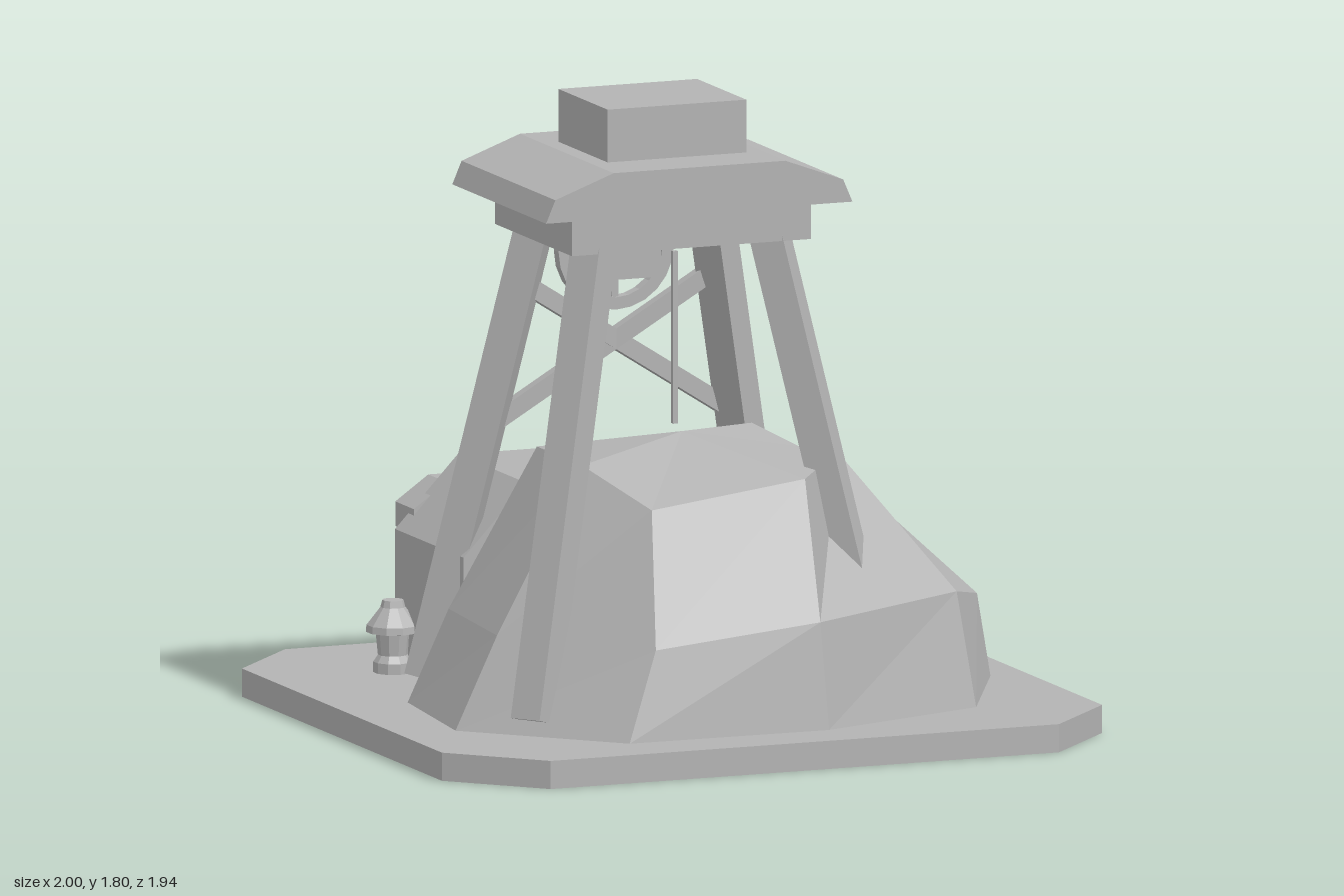
import * as THREE from 'three';

const gray = new THREE.MeshStandardMaterial({ color: 0xb3b3b3, flatShading: true, side: THREE.DoubleSide });
gray.name = 'stone gray';

export function createModel() {
  const model = new THREE.Group();
  model.name = 'mineTower';

  function add(name, geometry, x = 0, y = 0, z = 0, parent = model) {
    const mesh = new THREE.Mesh(geometry, gray);
    mesh.name = name;
    mesh.position.set(x, y, z);
    parent.add(mesh);
    return mesh;
  }
  // Box given by its lowest and highest corner
  function box(name, [x0, y0, z0], [x1, y1, z1], parent = model) {
    return add(name, new THREE.BoxGeometry(x1 - x0, y1 - y0, z1 - z0),
      (x0 + x1) / 2, (y0 + y1) / 2, (z0 + z1) / 2, parent);
  }
  // Square timber running from a to b
  function beam(name, a, b, w, h, parent = model) {
    const p = new THREE.Vector3(...a), q = new THREE.Vector3(...b);
    const mesh = add(name, new THREE.BoxGeometry(w, h, p.distanceTo(q)), 0, 0, 0, parent);
    mesh.position.copy(p).lerp(q, 0.5);
    mesh.lookAt(q);
    return mesh;
  }
  // Front profile extruded between z0 and z1
  function profile(name, points, z0, z1, parent = model) {
    const shape = new THREE.Shape(points.map(([x, y]) => new THREE.Vector2(x, y)));
    return add(name, new THREE.ExtrudeGeometry(shape, { depth: z1 - z0, bevelEnabled: false }), 0, 0, z0, parent);
  }
  // Shell through stacked rings, closed by a fan to the tip, open below
  function shell(name, rings, tip) {
    const all = [...rings, rings[0].map(() => tip)];
    const pos = [];
    for (let r = 0; r < all.length - 1; r++) {
      const low = all[r], high = all[r + 1], n = low.length;
      for (let i = 0; i < n; i++) {
        const j = (i + 1) % n;
        pos.push(...low[i], ...high[i], ...low[j]);
        if (r < all.length - 2) pos.push(...low[j], ...high[i], ...high[j]);
      }
    }
    const g = new THREE.BufferGeometry();
    g.setAttribute('position', new THREE.Float32BufferAttribute(pos, 3));
    g.computeVertexNormals();
    return add(name, g);
  }

  // Ground slab with cut corners
  const slab = [[1, -0.73], [1, 0.73], [0.77, 0.97], [-0.77, 0.97],
    [-1, 0.73], [-1, -0.73], [-0.77, -0.97], [0.77, -0.97]];
  shell('groundSlab', [0, 0.08].map(y => slab.map(([x, z]) => [x, y, z])), [0, 0.08, 0]);

  // Faceted hill
  const foot = [[0.89, 0.18], [0.66, 0.63], [0.14, 0.81], [-0.46, 0.8], [-0.83, 0.42],
    [-0.78, -0.05], [-0.42, -0.48], [0.22, -0.47], [0.6, -0.235]];
  const waist = [[0.845, 0.32, 0.19], [0.63, 0.4, 0.56], [0.13, 0.38, 0.77], [-0.36, 0.33, 0.75],
    [-0.7, 0.34, 0.41], [-0.66, 0.34, -0.04], [-0.38, 0.36, -0.4], [0.2, 0.38, -0.4], [0.56, 0.38, -0.2]];
  const brow = [[0.45, 0.7, 0.08], [0.38, 0.77, 0.29], [0.15, 0.76, 0.61], [-0.31, 0.7, 0.6],
    [-0.43, 0.8, 0.38], [-0.43, 0.8, 0.05], [-0.28, 0.77, -0.12], [0.08, 0.77, -0.14], [0.25, 0.81, -0.02]];
  shell('hill', [foot.map(([x, z]) => [x, 0, z]), foot.map(([x, z]) => [x, 0.08, z]), waist, brow],
    [-0.09, 0.86, 0.29]);

  // Tower: four leaning legs, cross braces, head beam, roof
  const tower = new THREE.Group();
  tower.name = 'tower';
  model.add(tower);
  const cx = -0.13, cz = 0.17;
  for (const sx of [-1, 1]) for (const sz of [-1, 1]) {
    beam('towerLeg', [cx + sx * 0.525, 0.12, cz + sz * 0.4], [cx + sx * 0.26, 1.45, cz + sz * 0.21], 0.095, 0.095, tower);
  }
  for (const s of [-1, 1]) {
    beam('crossBrace', [cx + s * 0.35, 0.84, -0.15], [cx - s * 0.3, 1.25, -0.08], 0.04, 0.05, tower);
  }
  box('headBeam', [-0.49, 1.41, -0.11], [0.235, 1.52, 0.45], tower);
  profile('roof', [[-0.595, 1.52], [0.333, 1.52], [0.305, 1.585], [0.13, 1.65], [-0.39, 1.65], [-0.567, 1.585]],
    -0.17, 0.515, tower);
  box('roofCap', [-0.34, 1.65, -0.01], [0.08, 1.8, 0.35], tower);

  // Hoist wheel with hub, spokes and rope
  const wheel = new THREE.Group();
  wheel.name = 'hoistWheel';
  wheel.position.set(-0.13, 1.32, -0.11);
  model.add(wheel);
  const rim = new THREE.Shape().absarc(0, 0, 0.175, 0, Math.PI * 2);
  rim.holes.push(new THREE.Path().absarc(0, 0, 0.14, 0, Math.PI * 2));
  add('wheelRim', new THREE.ExtrudeGeometry(rim, { depth: 0.035, bevelEnabled: false, curveSegments: 12 }), 0, 0, -0.018, wheel);
  add('spokeAcross', new THREE.BoxGeometry(0.29, 0.02, 0.02), 0, 0, 0, wheel);
  add('spokeUpright', new THREE.BoxGeometry(0.02, 0.29, 0.02), 0, 0, 0, wheel);
  add('wheelHub', new THREE.CylinderGeometry(0.065, 0.065, 0.12, 10), 0, 0, 0, wheel).rotation.x = Math.PI / 2;
  box('wheelBearing', [-0.21, 1.255, -0.07], [-0.05, 1.41, 0.04]);
  box('hoistRope', [0.018, 0.82, -0.05], [0.033, 1.31, -0.035]);

  // Mine entrance shed with canopy and posts
  const shed = new THREE.Group();
  shed.name = 'entranceShed';
  model.add(shed);
  profile('shedBody', [[-0.59, 0.08], [0.24, 0.08], [0.24, 0.47], [0.05, 0.67], [-0.4, 0.67], [-0.59, 0.47]],
    -0.6, -0.1, shed);
  profile('canopy', [[-0.55, 0.46], [0.2, 0.46], [0.2, 0.53], [0.1, 0.6], [-0.45, 0.6], [-0.55, 0.53]],
    -0.695, -0.56, shed);
  for (const x of [-0.49, 0.14]) box('entrancePost', [x - 0.045, 0.08, -0.67], [x + 0.045, 0.47, -0.57], shed);
  box('signPlate', [-0.235, 0.51, -0.705], [-0.11, 0.57, -0.69], shed);

  // Rail tracks
  function track(x0, x1, z0, z1, ties) {
    const g = new THREE.Group();
    g.name = 'railTrack';
    model.add(g);
    for (const x of [x0, x1]) box('rail', [x - 0.026, 0.1, z0], [x + 0.026, 0.12, z1], g);
    for (const z of ties) box('railTie', [x0 - 0.06, 0.08, z - 0.033], [x1 + 0.06, 0.108, z + 0.033], g);
  }
  track(-0.36, 0.02, -0.95, -0.62, [-0.91, -0.75]);
  track(0.378, 0.772, -0.925, -0.1, [-0.82, -0.52, -0.22]);

  // Ore cart: chamfered tub, chassis, wheels and ore heaps
  const cart = new THREE.Group();
  cart.name = 'oreCart';
  cart.position.set(0.575, 0, -0.51);
  model.add(cart);
  const w = 0.213, d = 0.242, c = 0.035;
  const plan = [[w, d - c], [w - c, d], [c - w, d], [-w, d - c], [-w, c - d], [c - w, -d], [w - c, -d], [w, c - d]];
  const tub = new THREE.ExtrudeGeometry(new THREE.Shape(plan.map(p => new THREE.Vector2(...p))),
    { depth: 0.19, bevelEnabled: false });
  tub.rotateX(-Math.PI / 2);
  add('cartTub', tub, 0, 0.245, 0, cart);
  box('cartChassis', [-0.19, 0.165, -0.08], [0.19, 0.25, 0.08], cart);
  for (const x of [-0.2, 0.2]) for (const z of [-0.145, 0.145]) {
    add('cartWheel', new THREE.CylinderGeometry(0.08, 0.08, 0.06, 12), x, 0.195, z, cart).rotation.z = Math.PI / 2;
  }
  for (const [x, z, r, h] of [[-0.09, -0.08, 0.1, 0.1], [0.095, -0.115, 0.07, 0.075], [0.065, 0.045, 0.127, 0.12]]) {
    add('oreHeap', new THREE.ConeGeometry(r, h, 8), x, 0.432 + h / 2, z, cart);
  }

  // Lantern beside the shed
  const lantern = [[0.055, 0.08], [0.055, 0.11], [0.042, 0.13], [0.048, 0.19], [0.076, 0.195],
    [0.074, 0.215], [0.035, 0.265], [0.03, 0.285], [0, 0.285]];
  add('lantern', new THREE.LatheGeometry(lantern.map(p => new THREE.Vector2(...p)), 10), -0.63, 0, -0.52);

  return model;
}
